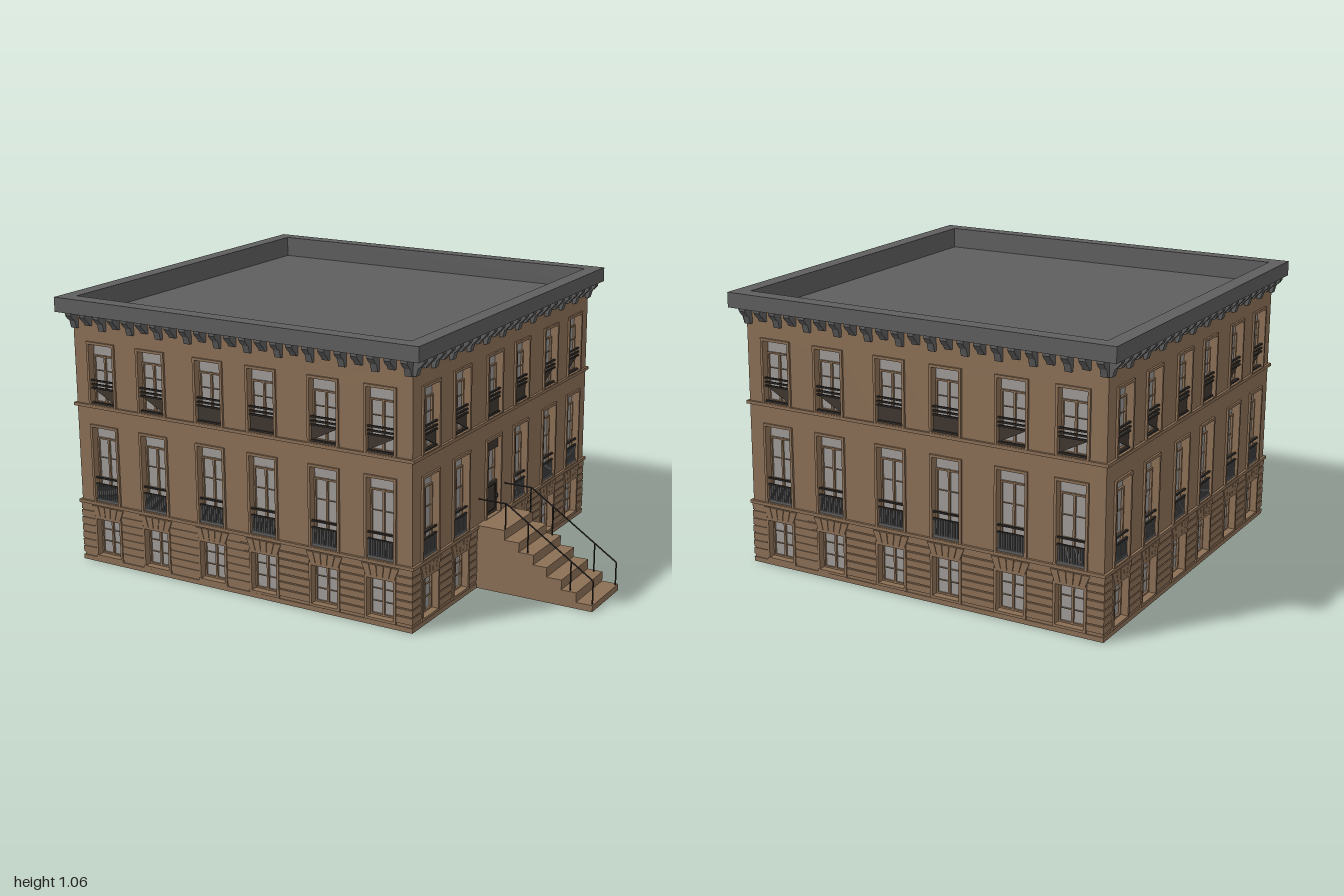
import * as THREE from 'three';
import { mergeGeometries } from 'three/addons/utils/BufferGeometryUtils.js';

const mat = (name, color) => {
  const m = new THREE.MeshStandardMaterial({ color });
  m.name = name;
  return m;
};

export function createModel() {
  const stone = mat('brown stone', 0x8c7056);
  const slate = mat('slate grey', 0x5e5e5e);
  const glass = mat('window glass', 0x9e9a98);
  const iron = mat('dark iron', 0x2e2b28);
  const wood = mat('dark wood', 0x3f372f);

  const model = new THREE.Group();
  const CX = -0.214;      // centre of the house
  const FACE = 0.738;     // wall plane distance from the house centre
  const BAYS = [-0.611, -0.378, -0.116, 0.116, 0.378, 0.611];
  const HW = 0.055;       // half width of a window
  const ROWS = { ground: [0.03, 0.18], middle: [0.252, 0.553], upper: [0.645, 0.88] };

  const box = (x0, x1, y0, y1, z0, z1) =>
    new THREE.BoxGeometry(x1 - x0, y1 - y0, z1 - z0)
      .translate((x0 + x1) / 2, (y0 + y1) / 2, (z0 + z1) / 2);
  const polygon = pts => new THREE.Shape(pts.map(p => new THREE.Vector2(...p)));
  const rect = (x0, x1, y0, y1) => [[x0, y0], [x1, y0], [x1, y1], [x0, y1]];
  const extrude = (shape, depth, z = 0) =>
    new THREE.ExtrudeGeometry(shape, { depth, bevelEnabled: false }).translate(0, 0, z);
  const frame = (x, y0, y1, half, w, z0, depth) => {
    const s = polygon(rect(x - half - w, x + half + w, y0 - w, y1 + w));
    s.holes.push(polygon(rect(x - half, x + half, y0, y1)));
    return extrude(s, depth, z0);
  };
  const addPart = (parent, name, material, geos) => {
    const mesh = new THREE.Mesh(
      mergeGeometries(geos.map(g => (g.index ? g.toNonIndexed() : g))), material);
    mesh.name = name;
    parent.add(mesh);
  };

  // Flat square ring around the house centre, from height y0 to y1
  const ring = (outer, inner, y0, y1) => {
    const s = polygon(rect(-outer, outer, -outer, outer));
    s.holes.push(polygon(rect(-inner, inner, -inner, inner)));
    return extrude(s, y1 - y0).rotateX(-Math.PI / 2).translate(0, y0, 0);
  };

  // Curved cornice bracket
  const bracket = (x, drop) => {
    const s = polygon([[0, 1 - drop], [0.012, 1 - drop], [0.02, 0.966],
      [0.034, 0.978], [0.043, 0.99], [0.043, 1], [0, 1]]);
    return extrude(s, 0.026, -0.013).rotateY(-Math.PI / 2).translate(x, 0, FACE);
  };

  function buildSide(index) {
    const side = new THREE.Group();
    side.name = ['frontFacade', 'leftFacade', 'backFacade', 'rightFacade'][index];
    const isDoor = x => index === 1 && x === BAYS[2];

    // Wall with window openings
    const wall = polygon(rect(-FACE, FACE, 0, 0.97));
    const panes = [], trim = [], casements = [], rails = [], balusters = [], panels = [];
    for (const [row, [y0, y1]] of Object.entries(ROWS)) {
      for (const x of BAYS) {
        wall.holes.push(polygon(rect(x - HW, x + HW, y0, y1)));
        panes.push(box(x - HW, x + HW, y0, y1, FACE - 0.032, FACE - 0.026));
        trim.push(frame(x, y0, y1, HW, 0.01, FACE - 0.005, 0.013));

        // Casement frame, mullion and glazing bars
        const top = row === 'ground' ? y1 : y1 - 0.045;
        const zb = FACE - 0.026, zf = FACE - 0.018;
        casements.push(frame(x, y0 + 0.007, top - 0.007, HW - 0.008, 0.006, zb, 0.008));
        casements.push(box(x - 0.004, x + 0.004, y0, top, zb, zf));
        for (const t of [0.36, 0.68]) {
          const y = y0 + (top - y0) * t;
          casements.push(box(x - HW, x + HW, y - 0.0015, y + 0.0015, zb, zf - 0.003));
        }
        if (isDoor(x) && row === 'middle') continue;

        // Window guards
        if (row === 'middle') {
          for (const y of [0.322, 0.348]) rails.push(box(x - HW, x + HW, y - 0.003, y + 0.003, FACE - 0.008, FACE));
          for (let k = 0; k < 11; k++) {
            const bx = x - HW + 0.005 + k * 0.01;
            balusters.push(box(bx - 0.003, bx + 0.003, 0.255, 0.32, FACE - 0.009, FACE - 0.002));
          }
          balusters.push(box(x - HW, x + HW, 0.252, 0.262, FACE - 0.01, FACE));
        }
        if (row === 'upper') {
          for (const y of [0.708, 0.722, 0.738]) rails.push(box(x - HW, x + HW, y - 0.003, y + 0.003, FACE - 0.008, FACE));
          const s = Math.sign(x), inner = Math.abs(x) < 0.2;
          const pts = inner ? rect(x - HW, x + HW, 0.648, 0.705)
            : [[x - HW, 0.705], [x - s * HW, 0.648], [x + HW, 0.705]];
          panels.push(extrude(polygon(pts), 0.004, FACE - 0.012));
          rails.push(box(x - HW, x + HW, 0.645, 0.652, FACE - 0.012, FACE - 0.002));
        }
      }
    }
    addPart(side, 'wall', stone, [extrude(wall, 0.033, FACE - 0.033)]);
    addPart(side, 'windowPanes', glass, panes);
    addPart(side, 'windowSurrounds', stone, trim);
    addPart(side, 'windowFrames', stone, casements);
    addPart(side, 'windowRails', iron, rails);
    addPart(side, 'balusters', slate, balusters);
    addPart(side, 'guardPanels', wood, panels);

    // Rusticated ground floor courses, broken at the windows
    const courses = [];
    const edges = [-FACE - 0.004, ...BAYS.flatMap(x => [x - HW - 0.01, x + HW + 0.01]), FACE + 0.004];
    for (let k = 0; k < 8; k++) {
      const y0 = k * 0.03, y1 = y0 + 0.025;
      if (y0 > 0.185 || y0 < 0.01) {
        courses.push(box(edges[0], edges[13], y0, k ? y1 : 0.018, FACE - 0.005, FACE + 0.004));
      } else {
        for (let e = 0; e < 14; e += 2) courses.push(box(edges[e], edges[e + 1], y0, y1, FACE - 0.005, FACE + 0.004));
      }
    }
    addPart(side, 'stoneCourses', stone, courses);

    // Flared flat arches over the ground floor windows
    const arches = [];
    for (const x of BAYS) {
      for (let k = -2; k <= 2; k++) {
        const a = 0.024, b = 0.031;
        arches.push(extrude(polygon([[x + (k - 0.46) * a, 0.19], [x + (k + 0.46) * a, 0.19],
          [x + (k + 0.46) * b, 0.232], [x + (k - 0.46) * b, 0.232]]), 0.008, FACE));
      }
    }
    addPart(side, 'flatArches', stone, arches);

    // Belt courses and frieze
    const W = FACE + 0.01;
    addPart(side, 'beltCourses', stone, [
      box(-W, W, 0.237, 0.249, FACE - 0.01, W),
      box(-W, W, 0.63, 0.642, FACE - 0.01, W),
      box(-FACE, FACE, 0.96, 1.0, FACE - 0.007, FACE),
    ]);

    // Cornice brackets, alternating long and short
    const brackets = [];
    for (let k = 0; k < 23; k++) brackets.push(bracket(-0.726 + k * 0.066, k % 2 ? 0.047 : 0.062));
    addPart(side, 'corniceBrackets', slate, brackets);

    // Entrance door
    if (index === 1) {
      const x = BAYS[2];
      addPart(side, 'door', wood, [
        box(x - HW, x + HW, 0.252, 0.378, FACE - 0.018, FACE - 0.008),
        box(x - HW, x + HW, 0.508, 0.55, FACE - 0.018, FACE - 0.008),
      ]);
      addPart(side, 'doorTrim', iron, [
        frame(x, 0.268, 0.365, 0.035, 0.003, FACE - 0.008, 0.003),
        box(x + 0.04, x + 0.045, 0.31, 0.325, FACE - 0.008, FACE + 0.002),
      ]);
    }
    side.rotation.y = index * Math.PI / 2;
    return side;
  }

  const house = new THREE.Group();
  house.name = 'house';
  house.position.x = CX;
  for (let i = 0; i < 4; i++) house.add(buildSide(i));

  // Roof tray with parapet, and the base plate
  addPart(house, 'roof', slate, [
    box(-0.73, 0.73, 0.955, 0.975, -0.73, 0.73),
    ring(0.731, 0.725, 0.97, 1.0),
    ring(0.786, 0.725, 1.0, 1.057),
  ]);
  addPart(house, 'basePlate', slate, [box(-0.737, 0.737, -0.0005, 0.004, -0.737, 0.737)]);
  model.add(house);

  // Entrance stairs, one stepped profile
  const stairs = new THREE.Group();
  stairs.name = 'stairs';
  const treads = [[0.64, 0.25], [0.7, 0.212], [0.76, 0.175], [0.815, 0.137], [0.875, 0.1], [0.935, 0.062], [1.0, 0.025]];
  const profile = [[0.52, 0], [0.52, 0.25]];
  treads.forEach(([x, y], i) => {
    if (i) profile.push([treads[i - 1][0], y]);
    profile.push([x, y]);
  });
  profile.push([1.0, 0]);
  addPart(stairs, 'steps', stone, [extrude(polygon(profile.reverse()), 0.245, 0)]);

  // Handrails with thin posts
  const rod = (a, b) => new THREE.TubeGeometry(
    new THREE.LineCurve3(new THREE.Vector3(...a), new THREE.Vector3(...b)), 1, 0.0028, 6);
  const rods = [];
  for (const z of [0.014, 0.231]) {
    rods.push(rod([0.525, 0.35, z], [0.64, 0.35, z]), rod([0.64, 0.35, z], [0.994, 0.115, z]));
    for (const [x, y0, y1] of [[0.637, 0.25, 0.35], [0.73, 0.175, 0.29], [0.905, 0.062, 0.174], [0.994, 0.025, 0.115]])
      rods.push(rod([x, y0, z], [x, y1, z]));
  }
  addPart(stairs, 'handrails', iron, rods);
  model.add(stairs);
  return model;
}
